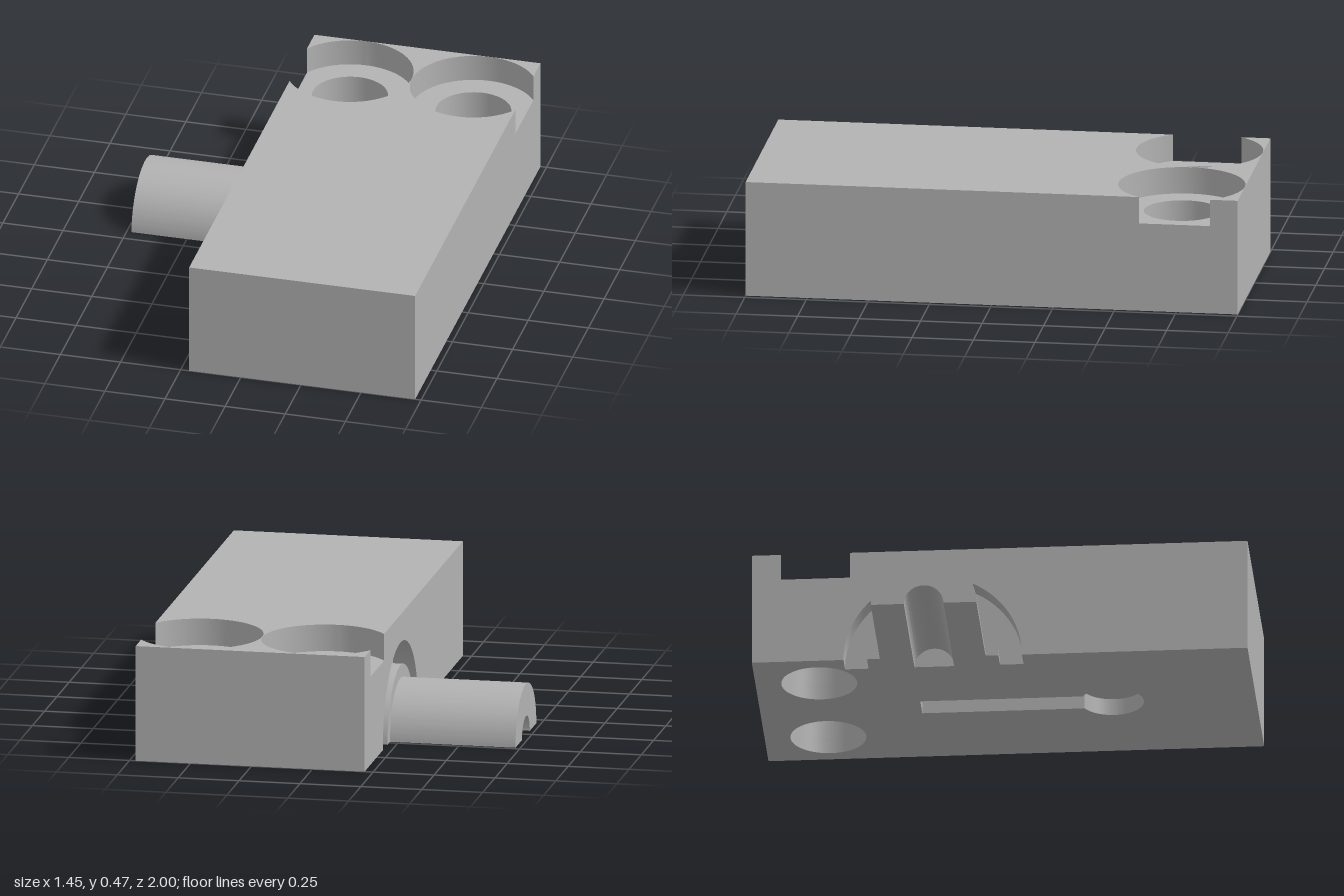
import * as THREE from 'three';
import { toCreasedNormals } from 'three/addons/utils/BufferGeometryUtils.js';

// Block limits (plan coordinates: x and s = -z)
const L = -0.215, R = 0.725, H = 0.475;
const BORE_Y = 0.365, SLOT_Y = 0.07;
const HOLE_S = 0.743, HOLE_R = 0.153, BORE_R = 0.256, HOLES_X = [0, 0.513];
// Shaft axis and pocket
const AXIS_Z = -0.27, POCKET_X = -0.125, POCKET_R = 0.36;
const SHAFT_R = 0.213, COLLAR_R = 0.265, GROOVE_R = 0.08;

export function createModel() {
  const group = new THREE.Group();
  const grey = new THREE.MeshStandardMaterial({ color: 0xb2b2b2 });
  grey.name = 'grey';

  const extrude = (shape, depth) =>
    new THREE.ExtrudeGeometry(shape, { depth, bevelEnabled: false, curveSegments: 40 });
  const add = (name, geometry) => {
    const mesh = new THREE.Mesh(toCreasedNormals(geometry, 0.6), grey);
    mesh.name = name;
    group.add(mesh);
  };
  // Plan shape raised from y0 to y1
  const layer = (name, shape, y0, y1) =>
    add(name, extrude(shape, y1 - y0).rotateX(-Math.PI / 2).translate(0, y0, 0));
  // (z, y) section swept from x0 towards -x to x1
  const sweep = (name, shape, x0, x1) =>
    add(name, extrude(shape, x0 - x1).rotateY(-Math.PI / 2).translate(x0, 0, AXIS_Z));

  // Lower body plan: notched beside the shaft, with two through holes
  const bodyPlan = () => {
    const a = -AXIS_Z - POCKET_R, b = -AXIS_Z + POCKET_R;
    const shape = new THREE.Shape([
      [L, -1], [R, -1], [R, 1], [L, 1], [L, b], [POCKET_X, b], [POCKET_X, a], [L, a],
    ].map(([x, s]) => new THREE.Vector2(x, s)));
    for (const x of HOLES_X) {
      shape.holes.push(new THREE.Path().absarc(x, HOLE_S, HOLE_R, 0, Math.PI * 2, true));
    }
    return shape;
  };

  // Keyhole slot in the underside
  const base = bodyPlan();
  const kx = 0.257, ks = -0.42, kr = 0.128, w = 0.057;
  const k = Math.asin(w / kr);
  const keyhole = new THREE.Path();
  keyhole.moveTo(kx + w, 0.35);
  keyhole.lineTo(kx + w, ks + kr * Math.cos(k));
  keyhole.absarc(kx, ks, kr, Math.PI / 2 - k, -Math.PI * 1.5 + k, true);
  keyhole.lineTo(kx - w, 0.35);
  keyhole.closePath();
  base.holes.push(keyhole);
  layer('baseWithKeyhole', base, 0, SLOT_Y);
  layer('body', bodyPlan(), SLOT_Y, BORE_Y);

  // Top layer with counterbores that break through both sides
  const a = Math.acos((R - HOLES_X[1]) / BORE_R);
  const b = Math.acos((HOLES_X[0] - L) / BORE_R);
  const top = new THREE.Shape();
  top.moveTo(L, -1);
  top.lineTo(R, -1);
  top.absarc(HOLES_X[1], HOLE_S, BORE_R, -a, a - Math.PI * 2, true);
  top.lineTo(R, 1);
  top.lineTo(L, 1);
  top.absarc(HOLES_X[0], HOLE_S, BORE_R, Math.PI - b, b - Math.PI, true);
  top.closePath();
  layer('topWithCounterbores', top, BORE_Y, H);

  // Arched wall around the shaft pocket
  const arch = new THREE.Shape();
  arch.moveTo(-POCKET_R, 0);
  arch.absarc(0, 0, POCKET_R, Math.PI, 0, true);
  arch.lineTo(POCKET_R, BORE_Y);
  arch.lineTo(-POCKET_R, BORE_Y);
  arch.closePath();
  sweep('pocketArch', arch, POCKET_X, L);

  // Half-round shaft and collar with a groove along the flat underside
  const halfRing = (r) => {
    const shape = new THREE.Shape();
    shape.absarc(0, 0, r, 0, Math.PI, false);
    shape.absarc(0, 0, GROOVE_R, Math.PI, 0, true);
    shape.closePath();
    return shape;
  };
  sweep('collar', halfRing(COLLAR_R), POCKET_X, L);
  sweep('shaft', halfRing(SHAFT_R), L, -0.73);

  return group;
}
